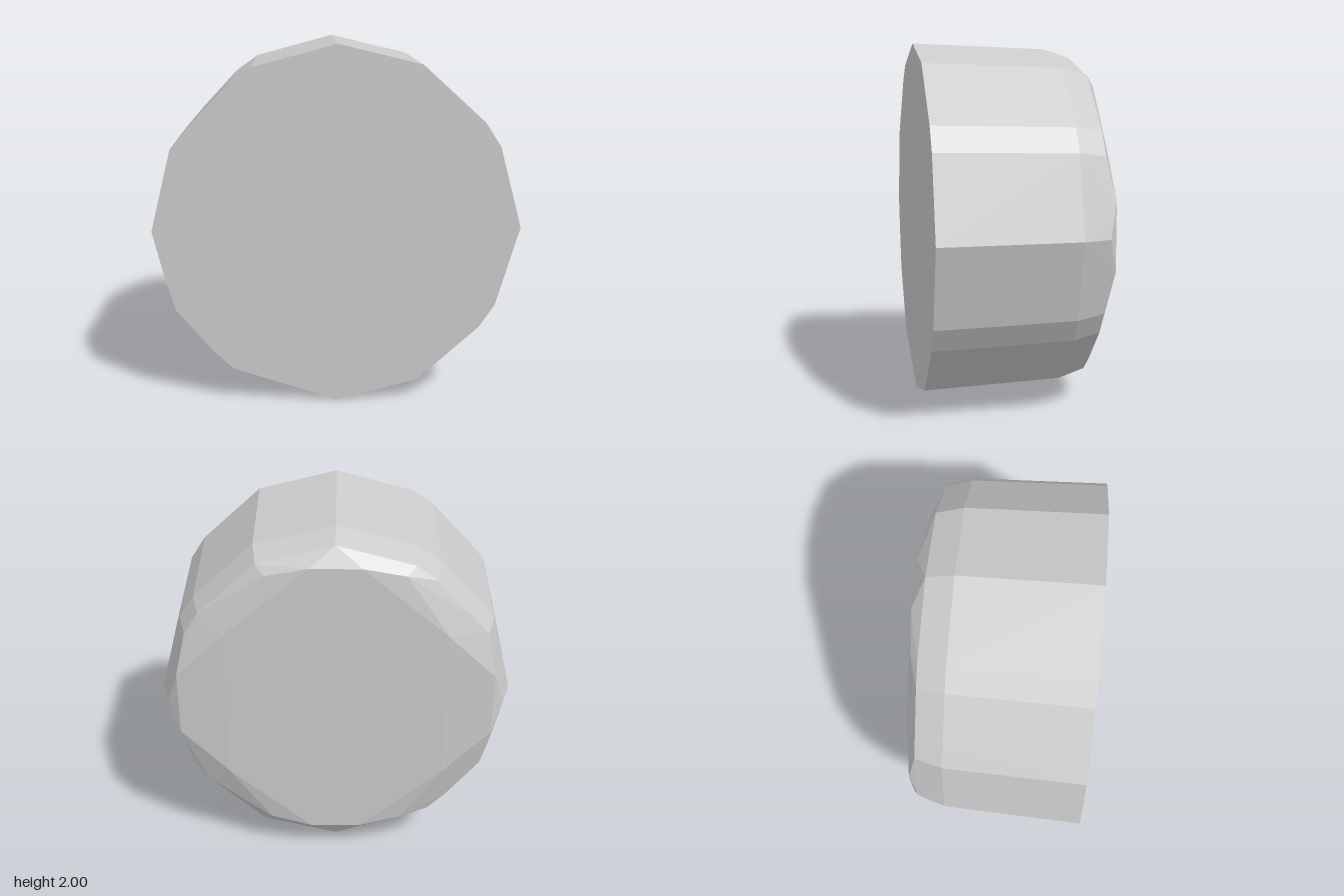
import * as THREE from 'three';
import { ConvexGeometry } from 'three/addons/geometries/ConvexGeometry.js';

// Uneven many-sided outline, clockwise from the top, centred on the axis
const OUTLINE = [
  [0, 1], [0.45, 0.89], [0.79, 0.58], [0.875, 0.45], [1, 0],
  [0.875, -0.445], [0.79, -0.575], [0.45, -0.885], [0, -1],
  [-0.58, -0.8], [-0.69, -0.69], [-0.885, -0.45], [-0.93, -0.3], [-1, 0],
  [-0.885, 0.45], [-0.79, 0.56], [-0.575, 0.79], [-0.45, 0.88],
];

// Tapering rings: [z, scale of the outline]
const RINGS = [[0.485, 1], [-0.27, 0.97], [-0.42, 0.922]];

// One quarter of the bevelled back face, mirrored in x and y
const BACK = [
  [0.14, 0.82, -0.485], [0.6, 0.43, -0.485],
  [0.37, 0.77, -0.465], [0.86, 0.18, -0.465],
];

export function createModel() {
  const group = new THREE.Group();
  group.name = 'roundedStub';

  const points = [];
  for (const [z, s] of RINGS) {
    for (const [x, y] of OUTLINE) points.push(new THREE.Vector3(x * s, y * s, z));
  }
  for (const [x, y, z] of BACK) {
    for (const sx of [-1, 1]) {
      for (const sy of [-1, 1]) points.push(new THREE.Vector3(x * sx, y * sy, z));
    }
  }

  // Faceted convex body: flat front, tapered wall, chipped bevel and back
  const body = new THREE.Mesh(
    new ConvexGeometry(points),
    new THREE.MeshStandardMaterial({ color: 0xcccccc, flatShading: true }),
  );
  body.name = 'body';
  body.position.y = 1;
  group.add(body);
  return group;
}
